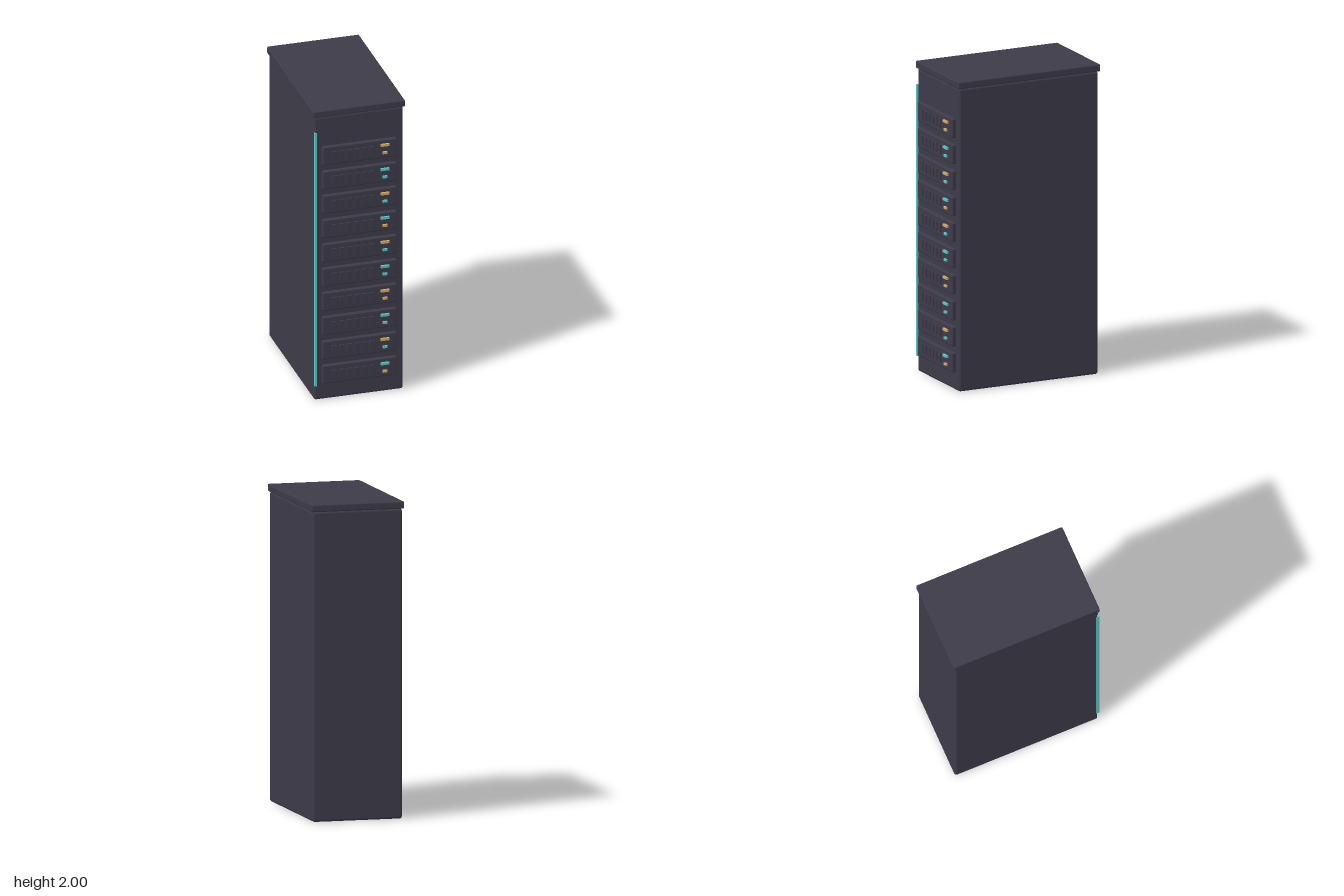
import * as THREE from 'three';
import { RoundedBoxGeometry } from 'three/addons/geometries/RoundedBoxGeometry.js';

function mat(name, color) {
  const m = new THREE.MeshStandardMaterial({ color });
  m.name = name;
  return m;
}

export function createModel() {
  const model = new THREE.Group();
  model.name = 'serverCabinet';
  const casing = mat('dark slate', 0x3d3b49);
  const teal = mat('teal light', 0x5fc8c8);
  const amber = mat('amber light', 0xd4ad62);

  // Box given by centre x, y and its back and front z; radius 0 means sharp edges
  function box(parent, name, material, x, y, z0, z1, w, h, radius = 0) {
    const d = z1 - z0;
    const geo = radius
      ? new RoundedBoxGeometry(w, h, d, 3, radius)
      : new THREE.BoxGeometry(w, h, d);
    const mesh = new THREE.Mesh(geo, material);
    mesh.name = name;
    mesh.position.set(x, y, (z0 + z1) / 2);
    parent.add(mesh);
    return mesh;
  }

  // Cabinet and overhanging lid
  box(model, 'cabinetBody', casing, 0, 0.977, -0.498, 0.472, 0.58, 1.954, 0.015);
  box(model, 'lid', casing, 0, 1.977, -0.51, 0.482, 0.6, 0.046, 0.008);

  // Glowing strip down the front edge
  box(model, 'lightStrip', teal, -0.283, 0.975, 0.455, 0.483, 0.013, 1.75);

  // Ten rack units, bottom to top, each with six drive bays and two lights
  for (let i = 0; i < 10; i++) {
    const unit = new THREE.Group();
    unit.name = 'rackUnit' + (i + 1);
    unit.position.y = 0.178 + i * 0.168;
    model.add(unit);
    box(unit, 'unitPanel', casing, 0, 0, 0.455, 0.497, 0.484, 0.125, 0.008);
    for (let k = 0; k < 6; k++) {
      box(unit, 'driveBay', casing, -0.168 + k * 0.0486, 0, 0.485, 0.507, 0.034, 0.058);
    }
    box(unit, 'upperLight', i % 2 ? amber : teal, 0.162, 0.029, 0.495, 0.51, 0.056, 0.016);
    box(unit, 'lowerLight', i % 3 ? teal : amber, 0.162, -0.024, 0.495, 0.509, 0.03, 0.015);
  }
  return model;
}
